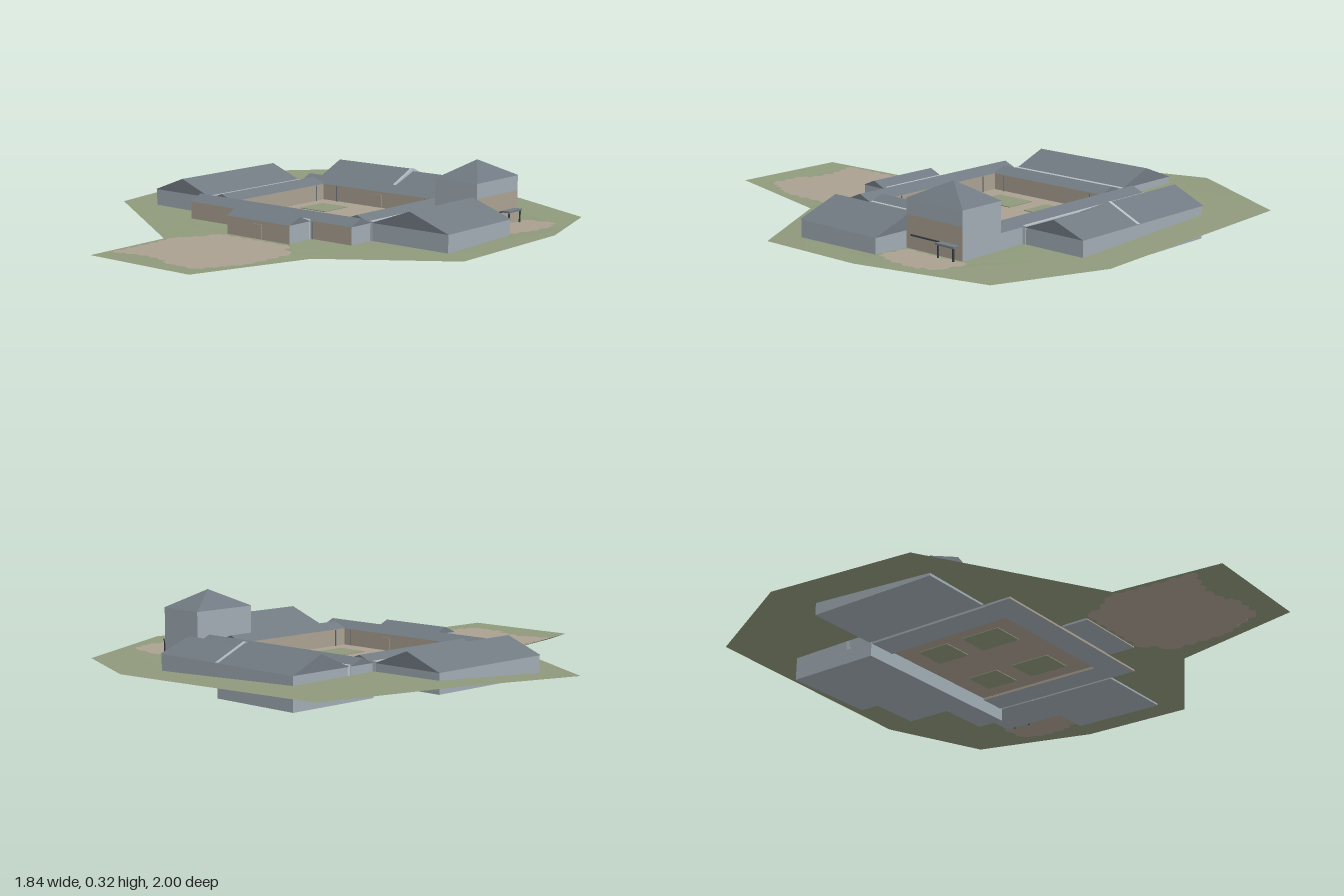
import * as THREE from 'three';

const mat = (name, color, side = THREE.FrontSide) => {
  const m = new THREE.MeshStandardMaterial({ color, side });
  m.name = name;
  return m;
};

export function createModel() {
  const root = new THREE.Group();
  root.name = 'courtyardEstate';
  const grass = mat('grass', 0x8f997b, THREE.DoubleSide);
  const paving = mat('paving', 0xaaa091, THREE.DoubleSide);
  const slate = mat('slate', 0x717a82);
  const wall = mat('greyWall', 0xa0abb3);
  const tan = mat('tanWall', 0xaaa091);
  const pale = mat('paleLead', 0xb4bcc4);
  const dark = mat('darkTrim', 0x3b4045);

  const add = (name, geo, material, parent = root) => {
    const m = new THREE.Mesh(geo, material);
    m.name = name;
    parent.add(m);
    return m;
  };
  const box = (name, x0, x1, y0, y1, z0, z1, material, parent) => {
    const g = new THREE.BoxGeometry(x1 - x0, y1 - y0, z1 - z0);
    g.translate((x0 + x1) / 2, (y0 + y1) / 2, (z0 + z1) / 2);
    return add(name, g, material, parent);
  };
  // Walls: grey by default, tan on the listed sides
  const walls = (name, x0, x1, y0, y1, z0, z1, tanSides = '', parent) =>
    box(name, x0, x1, y0, y1, z0, z1, ['px', 'nx', 'py', 'ny', 'pz', 'nz'].map(s =>
      tanSides.includes(s) ? tan : wall), parent);
  // Triangular roof prism with its ridge along x or z
  const gable = (name, x0, x1, z0, z1, eave, ridge, axis, material, parent) => {
    const alongX = axis === 'x';
    const half = (alongX ? z1 - z0 : x1 - x0) / 2, len = alongX ? x1 - x0 : z1 - z0;
    const tri = new THREE.Shape([[-half, 0], [half, 0], [0, ridge - eave]].map(p => new THREE.Vector2(...p)));
    const g = new THREE.ExtrudeGeometry(tri, { depth: len, bevelEnabled: false });
    g.translate(0, 0, -len / 2);
    if (alongX) g.rotateY(Math.PI / 2);
    g.translate((x0 + x1) / 2, eave, (z0 + z1) / 2);
    return add(name, g, material, parent);
  };
  const O = 0.003; // eave overhang
  const building = (name, x0, x1, z0, z1, eave, ridge, axis, tanSides) => {
    const g = new THREE.Group();
    g.name = name;
    root.add(g);
    walls(name + 'Walls', x0, x1, 0.052, eave, z0, z1, tanSides, g);
    gable(name + 'Roof', x0 - O, x1 + O, z0 - O, z1 + O, eave, ridge, axis, slate, g);
  };

  // Ground outlines as x, z, height
  const outline = [[-0.70, -0.98, 0.088], [0.32, -1, 0.066], [0.74, -0.82, 0.06], [0.92, -0.34, 0.08],
    [0.87, 0.18, 0.056], [0.40, 0.47, 0.048], [0.30, 1, 0.064], [-0.20, 1, 0.064], [-0.26, 0.57, 0.052],
    [-0.92, 0.16, 0.065], [-0.92, -0.52, 0.11]];
  const footprint = [[-0.755, -0.435, 0.102], [-0.435, -0.435, 0.098], [-0.435, -0.835, 0.095],
    [0.275, -0.835, 0.066], [0.275, -0.555, 0.066], [0.595, -0.555, 0.064], [0.595, -0.275, 0.064],
    [0.755, -0.275, 0.068], [0.755, 0.115, 0.06], [0.395, 0.115, 0.06], [0.395, 0.235, 0.06],
    [0.195, 0.235, 0.06], [0.195, 0.355, 0.06], [-0.115, 0.355, 0.06], [-0.115, 0.235, 0.06],
    [-0.435, 0.235, 0.06], [-0.435, 0.115, 0.06], [-0.755, 0.115, 0.063]];
  const surface = (name, contour, holes, material) => {
    const v2 = a => a.map(p => new THREE.Vector2(p[0], p[1]));
    const faces = THREE.ShapeUtils.triangulateShape(v2(contour), holes.map(v2));
    const pts = [contour, ...holes].flat().map(p => [p[0], p[2], p[1]]);
    const up = faces.map(([a, b, c]) => {
      const [A, B, C] = [pts[a], pts[b], pts[c]];
      const ny = (B[2] - A[2]) * (C[0] - A[0]) - (B[0] - A[0]) * (C[2] - A[2]);
      return ny > 0 ? [a, b, c] : [a, c, b];
    });
    const g = new THREE.BufferGeometry();
    g.setAttribute('position', new THREE.Float32BufferAttribute(pts.flat(), 3));
    g.setIndex(up.flat());
    g.computeVertexNormals();
    add(name, g, material);
  };

  // Paved areas with ragged edges, set into the lawn
  const ragged = (pts, height) => pts.flatMap((p, i) => {
    const q = pts[(i + 1) % pts.length];
    const dx = q[0] - p[0], dz = q[1] - p[1], len = Math.hypot(dx, dz);
    const n = Math.max(2, 2 * Math.round(len / 0.06));
    return Array.from({ length: n }, (_, k) => {
      const o = (k % 2 ? 0.008 : -0.008) / len;
      const x = p[0] + dx * k / n + dz * o, z = p[1] + dz * k / n - dx * o;
      return [x, z, height(x, z)];
    });
  });
  const forecourt = ragged([[-0.15, 0.375], [0.22, 0.375], [0.24, 0.43], [0.31, 0.47], [0.31, 0.72], [0.27, 0.81],
    [0.23, 0.90], [0.07, 0.90], [0.05, 0.87], [-0.06, 0.85], [-0.21, 0.89], [-0.22, 0.70], [-0.24, 0.54],
    [-0.17, 0.45]], (x, z) => 0.054 + 0.03 * (z - 0.55) ** 2);
  const eastYard = ragged([[0.612, -0.60], [0.76, -0.59], [0.80, -0.50], [0.79, -0.38], [0.75, -0.295],
    [0.612, -0.295]], x => 0.064 + (x - 0.6) * 0.05);
  surface('lawn', outline, [footprint, forecourt, eastYard], grass);
  surface('forecourt', forecourt, [], paving);
  surface('eastYard', eastYard, [], paving);

  // Courtyard with four lawns
  surface('courtyardPaving', [[-0.32, -0.45, 0.062], [0.28, -0.45, 0.062], [0.28, 0.13, 0.062], [-0.32, 0.13, 0.062]], [], paving);
  for (const x of [-0.25, 0.07])
    for (const [z0, z1] of [[-0.36, -0.215], [-0.14, 0.035]])
      box('gardenBed', x, x + 0.135, 0.059, 0.065, z0, z1, grass);

  // Basement under the north range
  walls('basementWest', -0.44, -0.04, 0, 0.06, -0.84, -0.56);
  walls('basementGallery', -0.44, 0.40, 0, 0.06, -0.56, -0.44, 'nz');

  // Four galleries around the courtyard, and the entrance porch
  building('southGallery', -0.44, 0.396, 0.124, 0.236, 0.13, 0.155, 'x', 'pz nz');
  building('northGallery', -0.44, 0.396, -0.556, -0.444, 0.13, 0.155, 'x', 'pz');
  building('westGallery', -0.436, -0.316, -0.445, 0.124, 0.13, 0.153, 'z', 'px');
  building('eastGallery', 0.274, 0.39, -0.445, 0.124, 0.13, 0.153, 'z', 'nx');
  building('entrancePorch', -0.12, 0.20, 0.25, 0.362, 0.13, 0.155, 'x', 'pz');

  // Wings and the stepped north range
  building('westWing', -0.76, -0.452, -0.44, 0.118, 0.13, 0.19, 'z', '');
  building('eastWing', 0.402, 0.756, -0.28, 0.118, 0.13, 0.195, 'z', '');
  building('northRangeWest', -0.44, -0.04, -0.84, -0.57, 0.13, 0.192, 'x', '');
  building('northRangeEast', -0.04, 0.276, -0.84, -0.57, 0.13, 0.182, 'x', '');
  gable('partyWallCap', -0.047, -0.033, -0.843, -0.567, 0.132, 0.195, 'x', pale);

  // Lead gutters filling the joints between roofs
  box('westValley', -0.454, -0.435, 0.06, 0.136, -0.44, 0.12, pale);
  box('eastValley', 0.389, 0.403, 0.06, 0.136, -0.44, 0.12, pale);
  box('northValley', -0.44, 0.28, 0.06, 0.136, -0.572, -0.557, pale);
  box('porchValley', -0.115, 0.195, 0.06, 0.136, 0.237, 0.251, pale);

  // Tower with pyramid roof
  walls('towerBase', 0.40, 0.60, 0.052, 0.19, -0.56, -0.28, 'px');
  walls('towerTop', 0.40, 0.60, 0.19, 0.25, -0.56, -0.28);
  let pyramid = new THREE.ConeGeometry(Math.SQRT1_2, 1, 4, 1);
  pyramid.rotateY(Math.PI / 4);
  pyramid.scale(0.204, 0.07, 0.284);
  pyramid.translate(0.5, 0.285, -0.42);
  pyramid = pyramid.toNonIndexed();
  pyramid.computeVertexNormals();
  add('towerRoof', pyramid, slate);

  // Small canopy and railing beside the tower
  box('canopy', 0.60, 0.632, 0.113, 0.12, -0.545, -0.455, slate);
  for (const z of [-0.54, -0.465]) box('canopyPost', 0.624, 0.629, 0.06, 0.114, z - 0.003, z + 0.003, dark);
  box('handrail', 0.60, 0.606, 0.114, 0.119, -0.455, -0.305, dark);

  // Doors as thin raised plates
  for (const [name, x, z] of [['frontDoor', 0.038, 0.362], ['courtSouthDoor', 0.038, 0.124], ['courtNorthDoor', -0.02, -0.444]])
    box(name, x - 0.022, x + 0.022, 0.06, 0.115, z - 0.002, z + 0.002, tan);

  // Slim downpipes in the corners
  const pipes = [[-0.128, 0.24], [0.208, 0.24], [-0.311, -0.39], [-0.311, 0.07], [0.269, -0.39], [0.269, 0.07],
    [-0.24, -0.44], [0.23, -0.44], [-0.24, 0.12], [0.23, 0.12]];
  for (const [x, z] of pipes) box('downpipe', x - 0.002, x + 0.002, 0.058, 0.128, z - 0.002, z + 0.002, slate);

  return root;
}
